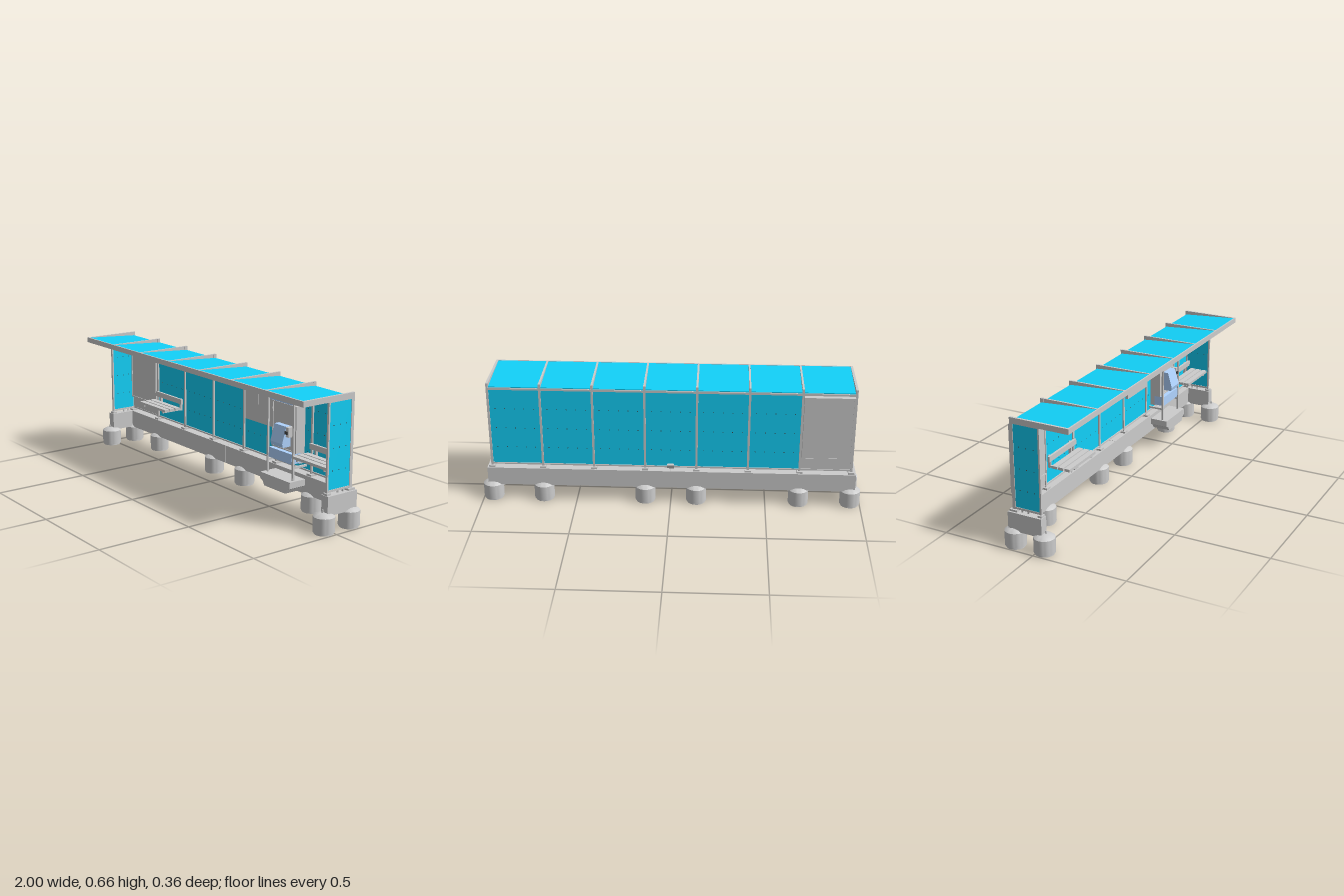
import * as THREE from 'three';
import { toCreasedNormals } from 'three/addons/utils/BufferGeometryUtils.js';

const mat = (color) => new THREE.MeshStandardMaterial({ color });
const grey = mat(0xcccccc);
const blue = mat(0x12d0f8);
const paleBlue = mat(0xb0d4ff);
const dark = mat(0x444444);

function add(parent, name, geometry, material = grey) {
  const mesh = new THREE.Mesh(geometry, material);
  mesh.name = name;
  parent.add(mesh);
  return mesh;
}

// Box given by its limits on each axis
function box(parent, name, x0, x1, y0, y1, z0, z1, material = grey) {
  const mesh = add(parent, name, new THREE.BoxGeometry(x1 - x0, y1 - y0, z1 - z0), material);
  mesh.position.set((x0 + x1) / 2, (y0 + y1) / 2, (z0 + z1) / 2);
  return mesh;
}

function group(parent, name) {
  const g = new THREE.Group();
  g.name = name;
  parent.add(g);
  return g;
}

// Rectangular border in the xy plane
function border(parent, name, x0, x1, y0, y1, z0, z1, t, material = grey) {
  box(parent, name, x0, x0 + t, y0, y1, z0, z1, material);
  box(parent, name, x1 - t, x1, y0, y1, z0, z1, material);
  box(parent, name, x0 + t, x1 - t, y0, y0 + t, z0, z1, material);
  box(parent, name, x0 + t, x1 - t, y1 - t, y1, z0, z1, material);
}

// Outline extruded along z
function extrude(points, z0, z1) {
  const shape = new THREE.Shape(points.map(([x, y]) => new THREE.Vector2(x, y)));
  return new THREE.ExtrudeGeometry(shape, { depth: z1 - z0, bevelEnabled: false }).translate(0, 0, z0);
}

const STEP = 0.27;
const posts = Array.from({ length: 8 }, (_, i) => -0.945 + i * STEP);

function buildBase(model) {
  const base = group(model, 'base');
  // Long beam in two halves, with arms reaching forward at both ends
  for (const s of [-1, 1]) {
    const beam = box(base, 'baseBeam', 0.001, 0.925, 0.088, 0.185, -0.152, -0.1);
    beam.position.x *= s;
    const arm = box(base, 'baseArm', 0.925, 0.97, 0.088, 0.185, -0.152, 0.034);
    arm.position.x *= s;
  }
  // Hollow round footings with domed tops
  const profile = [[0, 0.04], [0.043, 0.04], [0.043, 0], [0.048, 0], [0.048, 0.009], [0.053, 0.009],
    [0.053, 0.086], [0.045, 0.092], [0.034, 0.098], [0.018, 0.103], [0, 0.103]]
    .map(([r, y]) => new THREE.Vector2(r, y));
  const footing = toCreasedNormals(new THREE.LatheGeometry(profile, 32), 0.6);
  for (const s of [-1, 1]) {
    for (const [x, z] of [[0.947, -0.127], [0.675, -0.127], [0.135, -0.127], [0.947, 0.035]]) {
      add(base, 'footing', footing).position.set(s * x, 0, z);
    }
    const pin = add(base, 'footingPin', new THREE.CylinderGeometry(0.004, 0.004, 0.02, 10));
    pin.position.set(s * 0.947, 0.108, 0.045);
  }
}

function buildFrame(model) {
  const frame = group(model, 'frame');
  // Back posts and their foot plates
  for (const x of posts) {
    box(frame, 'backPost', x - 0.006, x + 0.006, 0.195, 0.663, -0.135, -0.118);
    box(frame, 'footPlate', x - 0.016, x + 0.016, 0.185, 0.195, -0.146, -0.105);
  }
  box(frame, 'bottomRail', -0.945, 0.945, 0.2, 0.208, -0.135, -0.12);
  box(frame, 'topRail', -0.945, 0.945, 0.627, 0.638, -0.135, -0.12);
  // End walls
  for (const s of [-1, 1]) {
    const x = s * 0.945;
    box(frame, 'frontPost', x - 0.006, x + 0.006, 0.195, 0.636, 0.016, 0.025);
    box(frame, 'frontFoot', x - 0.014, x + 0.014, 0.185, 0.195, 0.007, 0.031);
    box(frame, 'endBottomRail', x - 0.006, x + 0.006, 0.197, 0.208, -0.12, 0.018);
    box(frame, 'endTopRail', x - 0.006, x + 0.006, 0.632, 0.638, -0.12, 0.018);
    for (const z of [-0.05, -0.083]) box(frame, 'railStub', x - 0.004, x + 0.004, 0.184, 0.198, z - 0.004, z + 0.004);
    box(frame, 'endGlass', x - 0.003, x + 0.003, 0.208, 0.632, -0.118, 0.016, blue);
  }
  // Drain spout behind the middle of the wall
  const spout = add(frame, 'drainSpout', extrude([[-0.135, 0.222], [-0.145, 0.2], [-0.155, 0.222]], -0.018, 0.018));
  spout.rotation.y = -Math.PI / 2;
}

function buildWalls(model) {
  const walls = group(model, 'walls');
  const dot = new THREE.CylinderGeometry(0.0025, 0.0025, 0.006, 8);
  // Glass bays with rows of small fixings
  for (let i = 1; i < 7; i++) {
    box(walls, 'backGlass', posts[i] + 0.006, posts[i + 1] - 0.006, 0.208, 0.627, -0.13, -0.126, blue);
    for (const y of [0.3, 0.41, 0.52]) {
      for (let k = 0; k < 5; k++) {
        const d = add(walls, 'glassFixing', dot, dark);
        d.rotation.x = Math.PI / 2;
        d.position.set(posts[i] + 0.035 + k * 0.05, y, -0.128);
      }
    }
  }
  for (const x of [-0.945, 0.945]) for (const y of [0.3, 0.41, 0.52]) for (const z of [-0.09, -0.05, -0.01]) {
    const d = add(walls, 'glassFixing', dot, dark);
    d.rotation.z = Math.PI / 2;
    d.position.set(x, y, z);
    d.scale.y = 1.3;
  }
  // Display case filling the first bay
  box(walls, 'displayCase', -0.936, -0.686, 0.275, 0.617, -0.146, -0.112);
  border(walls, 'displayBorder', -0.94, -0.682, 0.271, 0.621, -0.148, -0.108, 0.007);
  box(walls, 'displayKickPanel', -0.939, -0.681, 0.208, 0.265, -0.131, -0.122);
  // Pair of notice boards
  for (const x of [0.162, 0.273]) box(walls, 'noticeBoard', x, x + 0.109, 0.372, 0.55, -0.126, -0.108);
}

function buildRoof(model) {
  const roof = group(model, 'roof');
  const front = 0.182, back = -0.135;
  for (const x of posts) {
    const half = Math.abs(x) > 0.9 ? 0.006 : 0.005;
    box(roof, 'rafter', x - half, x + half, 0.635, 0.663, back, front);
  }
  box(roof, 'frontFascia', -0.95, 0.95, 0.635, 0.663, front - 0.008, front);
  // Panes fall gently from the front edge to the back
  const depth = front - back - 0.012;
  for (let i = 0; i < 7; i++) {
    const pane = add(roof, 'roofGlass', new THREE.BoxGeometry(STEP - 0.011, 0.004, depth), blue);
    pane.position.set((posts[i] + posts[i + 1]) / 2, 0.65, (front + back) / 2);
    pane.rotation.x = -Math.atan2(0.02, depth);
  }
}

function buildBench(model, x0, x1) {
  const bench = group(model, 'bench');
  for (let i = 0; i < 3; i++) {
    box(bench, 'seatSlat', x0, x1, 0.298, 0.312, -0.09 + i * 0.036, -0.06 + i * 0.036);
  }
  box(bench, 'backrest', x0, x1, 0.328, 0.357, -0.112, -0.1);
  for (const x of [x0 + 0.03, x1 - 0.03]) {
    box(bench, 'backBracket', x - 0.005, x + 0.005, 0.285, 0.352, -0.126, -0.112);
    box(bench, 'seatBracket', x - 0.005, x + 0.005, 0.288, 0.298, -0.126, 0.008);
  }
}

function buildKiosk(model) {
  const kiosk = group(model, 'kiosk');
  // Chamfered plinth in front of the beam
  add(kiosk, 'plinth', extrude([[0.425, 0.165], [0.425, 0.132], [0.445, 0.122], [0.458, 0.1], [0.622, 0.1],
    [0.635, 0.122], [0.655, 0.132], [0.655, 0.165]], -0.1, 0.0));
  // Open frame and cabinet
  for (const x of [0.436, 0.632]) {
    box(kiosk, 'kioskPost', x, x + 0.01, 0.165, 0.59, -0.04, -0.03);
    for (const y of [0.225, 0.575]) box(kiosk, 'kioskTie', x, x + 0.01, y, y + 0.01, -0.12, -0.04);
  }
  box(kiosk, 'kioskTopBar', 0.44, 0.638, 0.582, 0.594, -0.04, -0.03);
  box(kiosk, 'cabinetBack', 0.452, 0.626, 0.24, 0.582, -0.118, -0.085);
  box(kiosk, 'cabinetPanel', 0.452, 0.626, 0.3, 0.53, -0.09, -0.06);
  border(kiosk, 'cabinetBorder', 0.446, 0.632, 0.298, 0.536, -0.11, -0.055, 0.006);
  box(kiosk, 'upperSign', 0.452, 0.626, 0.545, 0.576, -0.09, -0.035, paleBlue);
  box(kiosk, 'lowerPanel', 0.45, 0.628, 0.245, 0.297, -0.09, -0.033, paleBlue);
  // Console with a sloping face and a handset at its side
  const console = add(kiosk, 'console', extrude(
    [[0.075, 0.325], [0.01, 0.325], [0.005, 0.345], [0.03, 0.43], [0.075, 0.43]], 0.495, 0.586), paleBlue);
  console.rotation.y = Math.PI / 2;
  console.geometry.scale(1, 1, 1);
  box(kiosk, 'handset', 0.589, 0.61, 0.38, 0.43, -0.06, -0.025);
  box(kiosk, 'handsetHook', 0.586, 0.606, 0.395, 0.41, -0.06, -0.018, dark);
}

export function createModel() {
  const model = new THREE.Group();
  model.name = 'shelter';
  buildBase(model);
  buildFrame(model);
  buildWalls(model);
  buildRoof(model);
  buildBench(model, -0.668, -0.412);
  buildBench(model, 0.682, 0.938);
  buildKiosk(model);
  return model;
}
